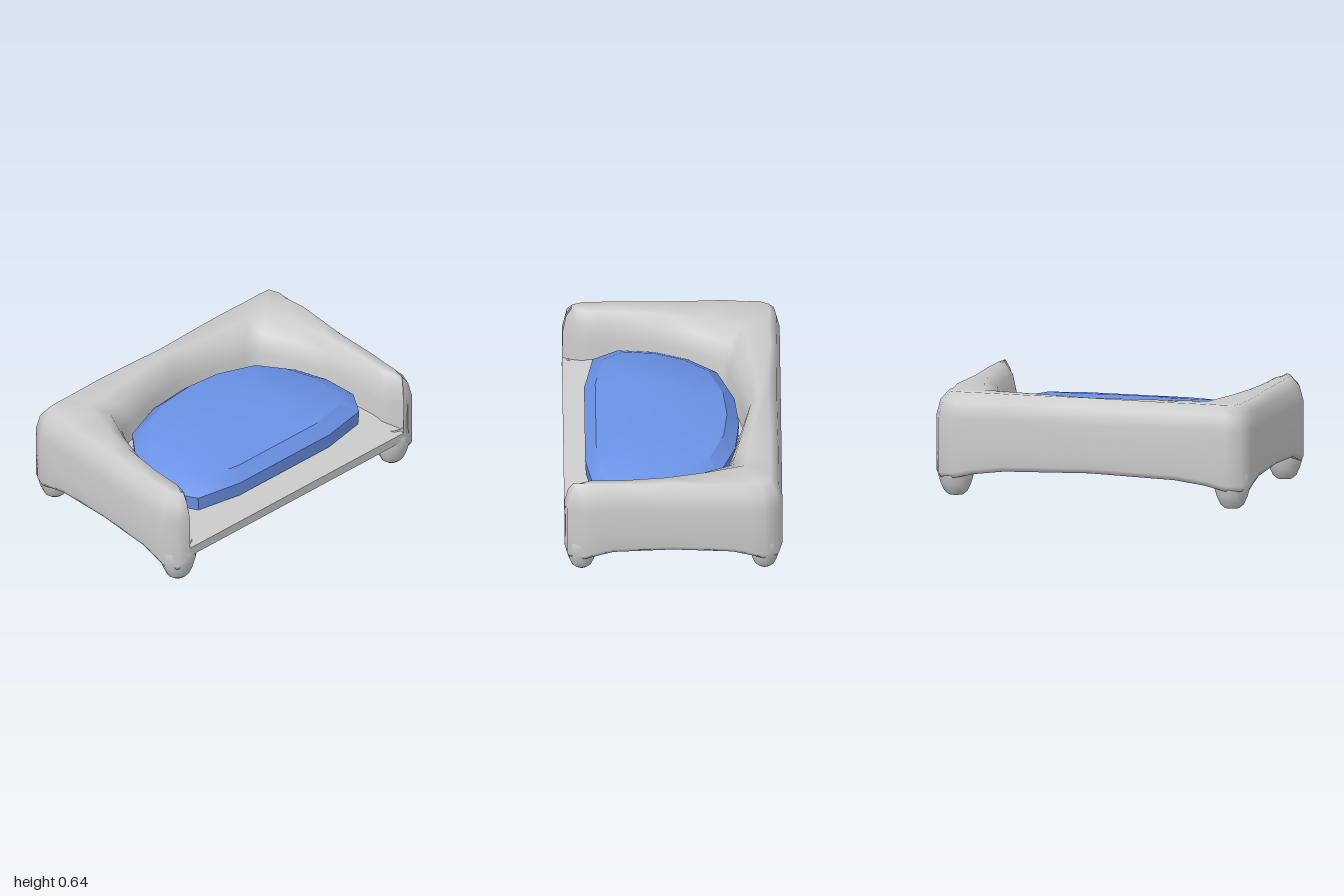
import * as THREE from 'three';
import { mergeVertices, toCreasedNormals } from 'three/addons/utils/BufferGeometryUtils.js';

// Skin a grid of points: rings[i][j], optionally closed along i
function loft(rings, closed) {
  const n = rings.length, m = rings[0].length, index = [];
  for (let i = 0; i < (closed ? n : n - 1); i++) {
    for (let j = 0; j < m - 1; j++) {
      const a = i * m + j, b = ((i + 1) % n) * m + j;
      index.push(a, b, a + 1, b, b + 1, a + 1);
    }
  }
  const g = new THREE.BufferGeometry();
  g.setAttribute('position', new THREE.Float32BufferAttribute(rings.flat(2), 3));
  g.setIndex(index);
  return mergeVertices(g, 1e-4);
}

// Append the z-mirrored half of a station list that ends on the centre line
const mirrorList = (half, flip) => [...half, ...half.slice(0, -1).reverse().map(flip)];

export function createModel() {
  const group = new THREE.Group();
  const grey = new THREE.MeshStandardMaterial({ color: 0xcccccc, side: THREE.DoubleSide });
  const blue = new THREE.MeshStandardMaterial({ color: 0x6a92e6 });
  const add = (name, geometry, material = grey) => {
    const mesh = new THREE.Mesh(geometry, material);
    mesh.name = name;
    group.add(mesh);
    return mesh;
  };
  const shift = -0.02; // hollow and cushion sit slightly off centre

  // Back and arms: outer x,z | crest x,z | inner floor x,z | bottom height
  const half = [
    [0.66, 0.875, 0.6, 0.895, 0.66, 0.895, 0.15],
    [0.645, 0.96, 0.56, 0.88, 0.6, 0.84, 0.12],
    [0.55, 1, 0.5, 0.855, 0.53, 0.79, 0.12],
    [0.47, 1, 0.42, 0.855, 0.45, 0.785, 0.145],
    [0.37, 1, 0.3, 0.855, 0.3, 0.77, 0.175],
    [0, 1, 0.04, 0.83, 0.1, 0.75, 0.19],
    [-0.37, 1, -0.2, 0.78, -0.12, 0.665, 0.175],
    [-0.47, 1, -0.44, 0.71, -0.31, 0.56, 0.145],
    [-0.56, 1, -0.44, 0.71, -0.31, 0.56, 0.12],
    [-0.645, 0.96, -0.44, 0.71, -0.31, 0.56, 0.12],
    [-0.665, 0.87, -0.44, 0.71, -0.31, 0.56, 0.12],
    [-0.665, 0.74, -0.455, 0.6, -0.338, 0.45, 0.15],
    [-0.665, 0.55, -0.48, 0.4, -0.375, 0.3, 0.175],
    [-0.665, 0, -0.53, 0, -0.45, 0, 0.19],
  ];
  const stations = mirrorList(half, ([ox, oz, cx, cz, ix, iz, b]) => [ox, -oz, cx, -cz, ix, -iz, b]);
  const rings = stations.map(([ox, oz, cx, cz0, ix, iz0, b]) => {
    const cz = cz0 + shift, iz = iz0 + shift;
    const len = Math.hypot(cx - ox, cz - oz);
    const inset = (d, y) => {
      const t = Math.min(d / len, 0.9);
      return [ox + (cx - ox) * t, y, oz + (cz - oz) * t];
    };
    const inner = (t, y) => [ix + (cx - ix) * t, y, iz + (cz - iz) * t];
    return [
      inner(0, 0.24), inner(0.08, 0.46), inner(0.4, 0.57), inner(1, 0.635),
      inset(0.08, 0.644), inset(0.025, 0.585), inset(0, 0.49), inset(0, 0.3),
      inset(0, b + 0.03), inset(0.015, b), inset(0.14, Math.min(b + 0.03, 0.2)),
    ];
  });
  const frame = loft(rings, false);
  frame.computeVertexNormals();
  add('backAndArms', frame);

  // Seat base with a sloping front lip
  const profile = new THREE.Shape([
    [-0.62, 0.19], [0.655, 0.195], [0.66, 0.26], [0.5, 0.322], [-0.6, 0.322],
  ].map(([x, y]) => new THREE.Vector2(x, y)));
  const base = new THREE.ExtrudeGeometry(profile, { depth: 1.75, bevelEnabled: false });
  base.translate(0, 0, -0.875);
  add('seatBase', base);

  // Rounded feet
  const footProfile = [[0, 0.003], [0.04, 0.006], [0.065, 0.03], [0.085, 0.08], [0.103, 0.15], [0.104, 0.22], [0.08, 0.28]]
    .map(([r, y]) => new THREE.Vector2(r, y));
  const foot = new THREE.LatheGeometry(footProfile, 12);
  for (const sx of [-1, 1]) {
    for (const sz of [-1, 1]) {
      const leg = add((sx > 0 ? 'front' : 'back') + 'Foot', foot);
      leg.scale.z = 1.15;
      leg.position.set(sx * 0.557, 0, sz * 0.877);
    }
  }

  // Domed D-shaped cushion
  const outline = mirrorList([
    [0.53, 0.37], [0.475, 0.66], [0.32, 0.75], [0.1, 0.73],
    [-0.1, 0.655], [-0.28, 0.52], [-0.385, 0.25], [-0.41, 0],
  ], ([x, z]) => [x, -z]);
  const layers = [[0, 0.525], [0.42, 0.521], [0.85, 0.492], [1, 0.42], [0.99, 0.325], [0, 0.325]];
  const cushion = loft(outline.map(([x, z]) =>
    layers.map(([s, y]) => [0.08 + (x - 0.08) * s, y, z * s + shift])), true);
  add('cushion', toCreasedNormals(cushion, 0.6), blue);

  return group;
}
